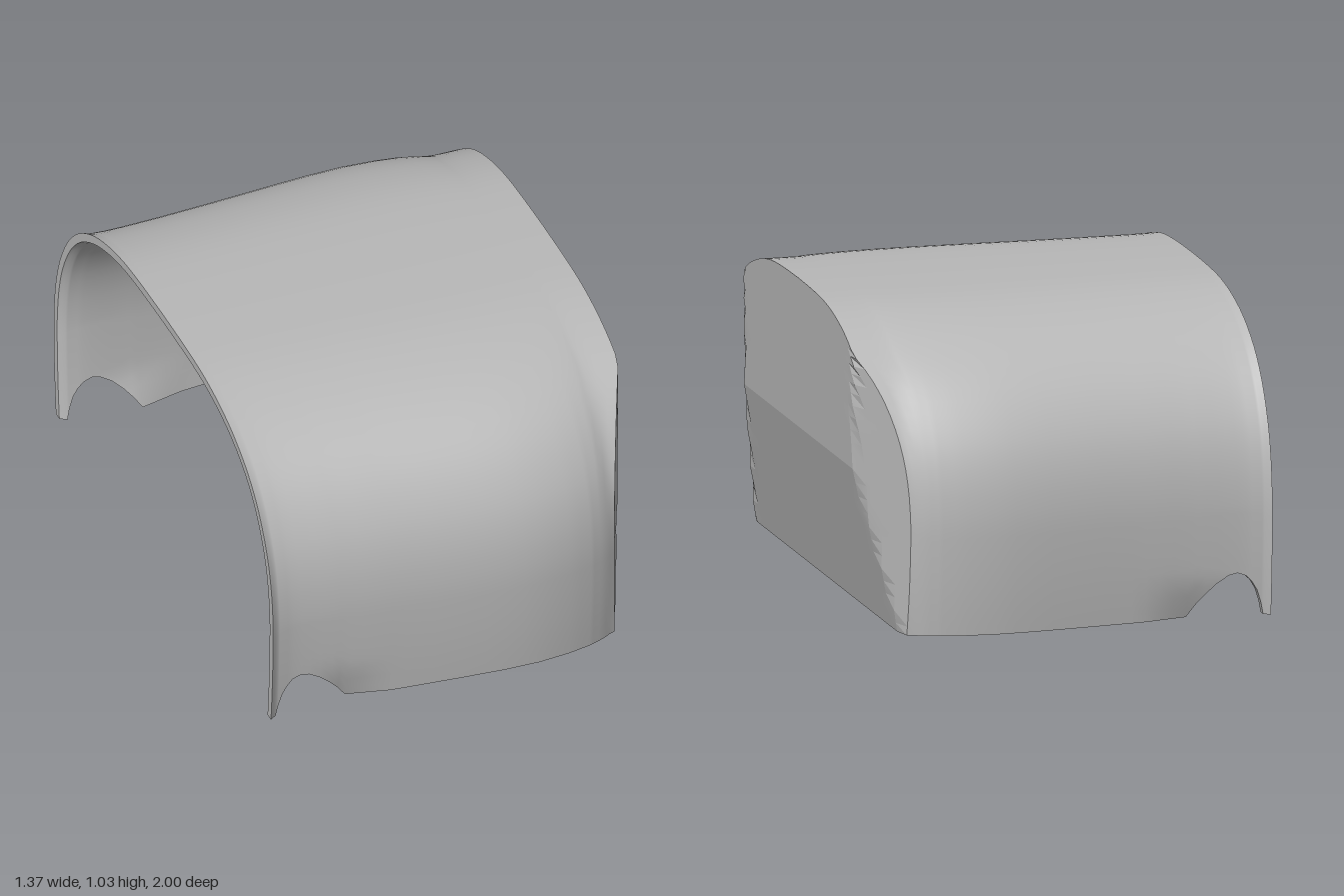
import * as THREE from 'three';
import { toCreasedNormals } from 'three/addons/utils/BufferGeometryUtils.js';

const THICK = 0.03;
const v2 = (a) => a.map(([x, y]) => new THREE.Vector2(x, y));

// Half cross-section, (z, y) from the bottom edge to the crown
const profile = new THREE.SplineCurve(v2([
  [0.98, 0], [0.991, 0.12], [0.998, 0.25], [1, 0.38], [0.985, 0.52], [0.945, 0.65], [0.87, 0.775],
  [0.77, 0.872], [0.64, 0.945], [0.5, 0.99], [0.36, 1.015], [0.2, 1.025], [0, 1.028],
]));
const N = 36;

// Half width along x, and the arch cut in the bottom edge
const widths = [[-0.683, 0.968], [-0.66, 0.952], [-0.6, 0.945], [-0.53, 0.945], [-0.4, 0.951], [-0.2, 0.966], [0, 0.985],
  [0.15, 0.997], [0.27, 1], [0.38, 0.99], [0.46, 0.974], [0.52, 0.953], [0.56, 0.93], [0.7, 0.93]];
const arch = [[-0.7, 0], [-0.66, 0], [-0.652, 0.04], [-0.638, 0.085], [-0.62, 0.115], [-0.6, 0.136], [-0.57, 0.147],
  [-0.54, 0.14], [-0.5, 0.115], [-0.46, 0.077], [-0.43, 0.042], [-0.4, 0], [0.7, 0]];
const stations = [-0.683, -0.672, ...arch.slice(1, -1).map((p) => p[0]), -0.35, -0.3, -0.25, -0.2, -0.1, 0,
  0.08, 0.15, 0.21, 0.27, 0.33, 0.38, 0.42, 0.46, 0.49, 0.52, 0.54, 0.56, 0.6, 0.64, 0.683];

function lookup(table, x) {
  let i = 1;
  while (i < table.length - 1 && x > table[i][0]) i++;
  const [x0, y0] = table[i - 1], [x1, y1] = table[i];
  return y0 + (y1 - y0) * THREE.MathUtils.clamp((x - x0) / (x1 - x0), 0, 1);
}

// End wall: upright above, leaning inward below, swept back at both sides
const wallX = (y, z) => Math.min(0.683, 0.583 + 0.192 * y, 0.56 + 0.46 * (0.93 - Math.abs(z)));

// Point on the hood; row j runs from the front edge over the crown to the back edge
function hoodPoint(s, j, d) {
  const side = j <= N ? 1 : -1;
  const t = (j <= N ? j : 2 * N - j) / N;
  const p = profile.getPoint(t), tan = profile.getTangent(t);
  const end = wallX(p.y, 0.93 * p.x) - d;
  const x = s <= 0.46 ? s : 0.46 + (s - 0.46) / 0.223 * (end - 0.46);
  let y = p.y, z = p.x;
  if (y < 0.38) {
    y += lookup(arch, x) * (1 - y / 0.38);
    z = 1 - 0.02 * (1 - y / 0.38) ** 2;
  }
  // Shallow dent beside the arch
  const dent = 0.03 * Math.max(0, 1 - y / 0.13) * Math.max(0, 1 - Math.abs(x + 0.42) / 0.18);
  z = z * lookup(widths, x) - dent - d * tan.y;
  y -= d * Math.max(0, -tan.x);
  return [x, y, side * Math.max(0, z)];
}

// Point on the end wall: column c from +z to -z, row r from bottom to crown
const COLS = 28;
function wallPoint(c, r, d) {
  const [, y, zRim] = hoodPoint(0.683, r, d);
  const z = zRim * (1 - 2 * c / COLS);
  const rimZ = 0.93 * profile.getPoint(r / N).x;
  return [wallX(profile.getPoint(r / N).y, rimZ * (1 - 2 * c / COLS)) - d, y, z];
}

// Grid of quads from a point rule
function grid(nu, nv, rule, flip = false, crease = 0) {
  const pos = [], idx = [];
  for (let v = 0; v <= nv; v++) for (let u = 0; u <= nu; u++) pos.push(...rule(u, v));
  for (let v = 0; v < nv; v++) {
    for (let u = 0; u < nu; u++) {
      const a = v * (nu + 1) + u, b = a + 1, c = a + nu + 1, e = c + 1;
      if (flip) idx.push(a, c, b, b, c, e);
      else idx.push(a, b, c, b, e, c);
    }
  }
  const g = new THREE.BufferGeometry();
  g.setAttribute('position', new THREE.Float32BufferAttribute(pos, 3));
  g.setIndex(idx);
  g.computeVertexNormals();
  return crease ? toCreasedNormals(g, crease) : g;
}

export function createModel() {
  const group = new THREE.Group();
  group.name = 'hoodShell';
  const grey = new THREE.MeshStandardMaterial({ color: 0xb8b8b8, side: THREE.DoubleSide });
  grey.name = 'grey';
  const add = (name, geometry) => {
    const mesh = new THREE.Mesh(geometry, grey);
    mesh.name = name;
    group.add(mesh);
  };
  const S = stations.length - 1;

  // Curved skin and end wall, outside and inside
  for (const [label, d] of [['outer', 0], ['inner', THICK]]) {
    add(label + 'Skin', grid(S, 2 * N, (u, v) => hoodPoint(stations[u], v, d), d > 0));
    add(label + 'EndWall', grid(COLS, N, (u, v) => wallPoint(u, v, d), d > 0, 0.15));
  }

  // Edges closing the thickness
  add('openingRim', grid(1, 2 * N, (u, v) => hoodPoint(stations[0], v, u * THICK), true));
  add('frontBottomEdge', grid(S, 1, (u, v) => hoodPoint(stations[u], 0, v * THICK), true, 0.6));
  add('backBottomEdge', grid(S, 1, (u, v) => hoodPoint(stations[u], 2 * N, v * THICK), false, 0.6));
  add('wallBottomEdge', grid(COLS, 1, (u, v) => wallPoint(u, 0, v * THICK), true));
  return group;
}
